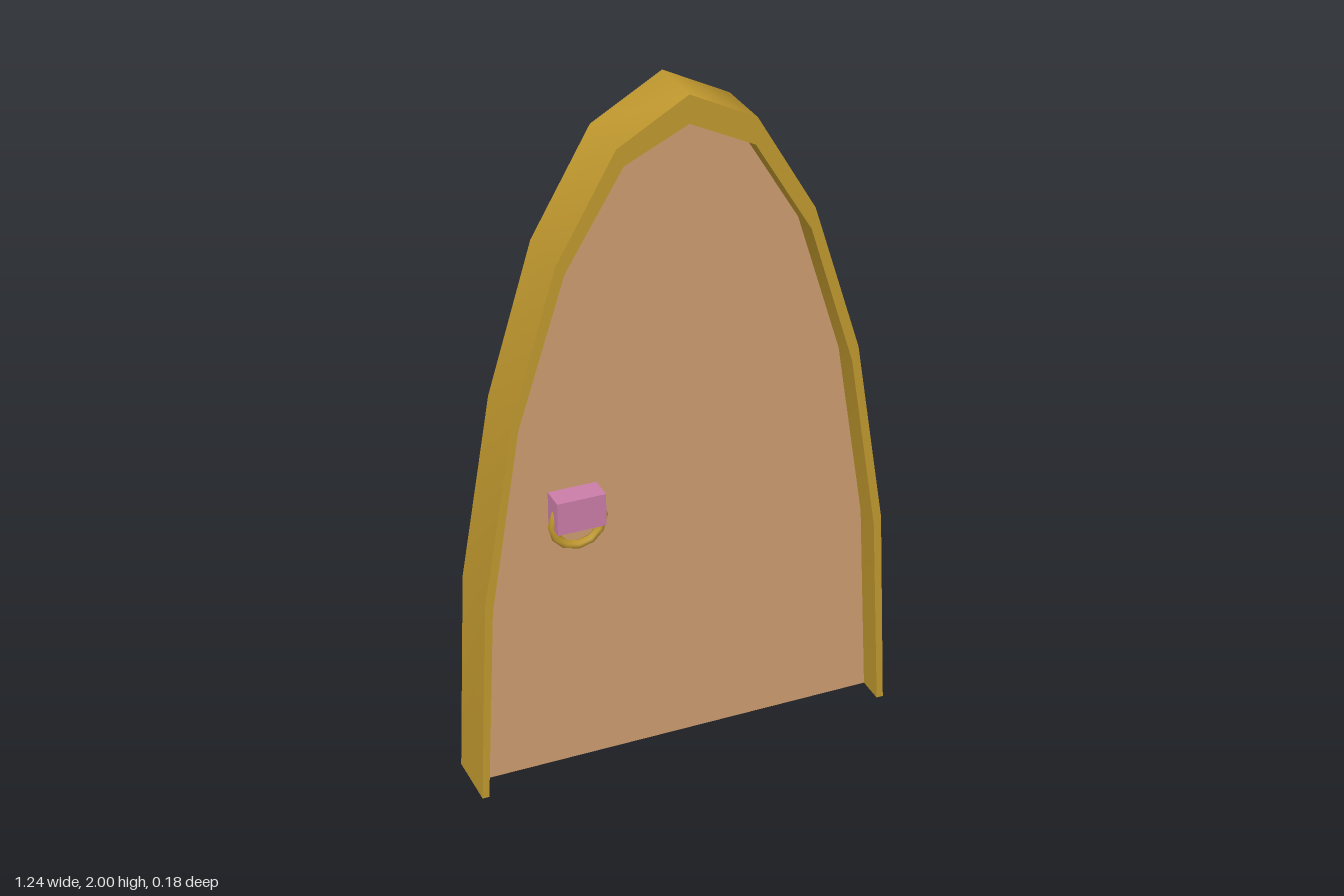
import * as THREE from 'three';
import { toCreasedNormals } from 'three/addons/utils/BufferGeometryUtils.js';

const vec = (pts) => pts.map(([x, y]) => new THREE.Vector2(x, y));

// Arch outlines from the bottom right, over the apex, to the bottom left
const OUTER = vec([
  [0.62, 0], [0.59, 0.62], [0.5, 1.18], [0.36, 1.62], [0.19, 1.905], [0, 2],
  [-0.2, 1.885], [-0.37, 1.59], [-0.5, 1.16], [-0.592, 0.62], [-0.62, 0],
]);
const INNER = vec([
  [0.6, 0], [0.568, 0.6], [0.482, 1.14], [0.35, 1.56], [0.185, 1.83], [0, 1.92],
  [-0.18, 1.835], [-0.345, 1.565], [-0.482, 1.14], [-0.57, 0.6], [-0.6, 0],
]);
const DEPTH = 0.175;

export function createModel() {
  const gold = new THREE.MeshStandardMaterial({ color: 0xc0982e });
  gold.name = 'gold';
  const wood = new THREE.MeshStandardMaterial({ color: 0xcd9d70, side: THREE.DoubleSide });
  wood.name = 'wood';
  const pink = new THREE.MeshStandardMaterial({ color: 0xca7da8 });
  pink.name = 'pink';

  const door = new THREE.Group();
  door.name = 'archedDoor';
  const add = (name, geometry, material, x = 0, y = 0, z = 0) => {
    const mesh = new THREE.Mesh(geometry, material);
    mesh.name = name;
    mesh.position.set(x, y, z);
    door.add(mesh);
    return mesh;
  };

  // Pointed frame: smooth around the arch, sharp at its rims
  const frameShape = new THREE.Shape([...OUTER, ...INNER.slice().reverse()]);
  const frame = new THREE.ExtrudeGeometry(frameShape, { depth: DEPTH, bevelEnabled: false });
  add('frame', toCreasedNormals(frame, 1.2), gold, 0, 0, -DEPTH / 2);

  // Thin door leaf in the middle of the frame
  add('panel', new THREE.ShapeGeometry(new THREE.Shape(INNER)), wood, 0, 0, 0.005);

  // Wooden inlay on the back rim beside the apex
  const inlay = add('backInlay', new THREE.BoxGeometry(0.15, 0.025, 0.004), wood, 0.1, 1.912, -DEPTH / 2);
  inlay.rotation.z = -0.46;

  // Handle block and its pull ring
  add('handleBlock', new THREE.BoxGeometry(0.14, 0.097, 0.07), pink, -0.305, 0.836, 0.041);
  add('handleRing', new THREE.TorusGeometry(0.074, 0.013, 6, 12), gold, -0.303, 0.797, 0.04);

  return door;
}
